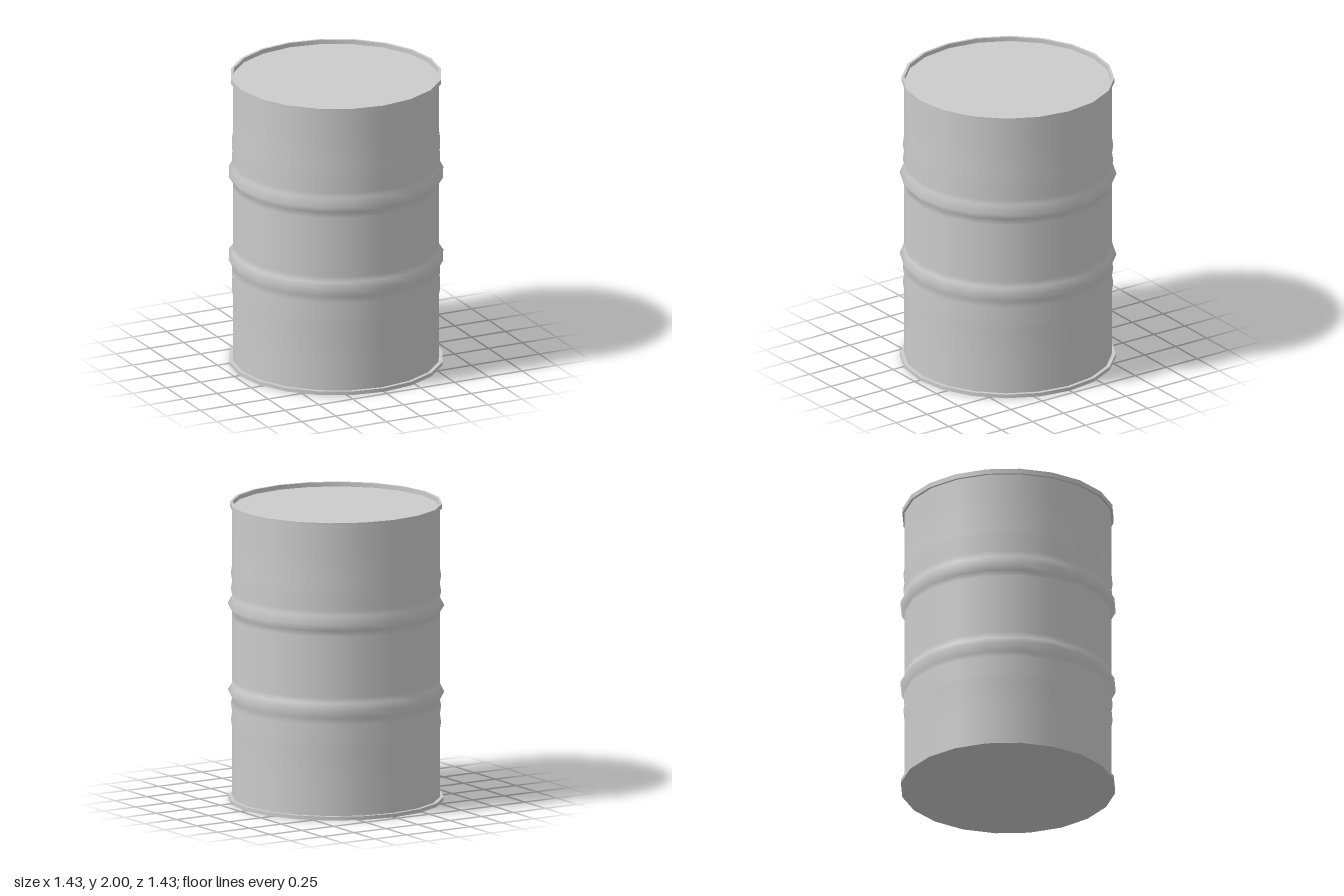
import * as THREE from 'three';
import { toCreasedNormals } from 'three/addons/utils/BufferGeometryUtils.js';

const SIDES = 20;
const R = 0.687;

export function createModel() {
  const drum = new THREE.Group();
  drum.name = 'drum';
  const material = new THREE.MeshStandardMaterial({ color: 0xcccccc });

  const add = (name, geometry) => {
    const mesh = new THREE.Mesh(geometry, material);
    mesh.name = name;
    drum.add(mesh);
  };
  // profile: [radius, height] pairs running so that the outside faces out
  const lathe = (profile) =>
    new THREE.LatheGeometry(profile.map(([r, y]) => new THREE.Vector2(r, y)), SIDES);

  // Lower half of the shell: two faint ribs, then the main rolling hoop
  const lower = [
    [R, 0.02], [R, 0.25], [R, 0.48], [0.695, 0.53], [R, 0.585],
    [0.695, 0.64], [R, 0.68], [0.716, 0.735], [R, 0.78], [R, 0.82],
  ];
  // Upper half mirrors it
  const upper = lower.map(([r, y]) => [r, 2.05 - y]).reverse();
  upper[upper.length - 1][1] = 1.98;
  add('shell', lathe([...lower, ...upper]));

  // Closed base with a projecting rim
  add('base', toCreasedNormals(
    lathe([[0, 0], [0.712, 0], [0.712, 0.025], [R - 0.01, 0.025]]), 0.6));

  // Raised top rim, open in the middle
  add('topRim', toCreasedNormals(
    lathe([[R - 0.01, 1.967], [0.702, 1.967], [0.702, 2], [0.684, 2], [0.684, 1.96]]), 0.6));

  // Lid recessed inside the rim, its corners aligned with the shell
  const lid = new THREE.CircleGeometry(R, SIDES);
  lid.rotateX(-Math.PI / 2);
  lid.translate(0, 1.97, 0);
  add('lid', lid);

  return drum;
}
